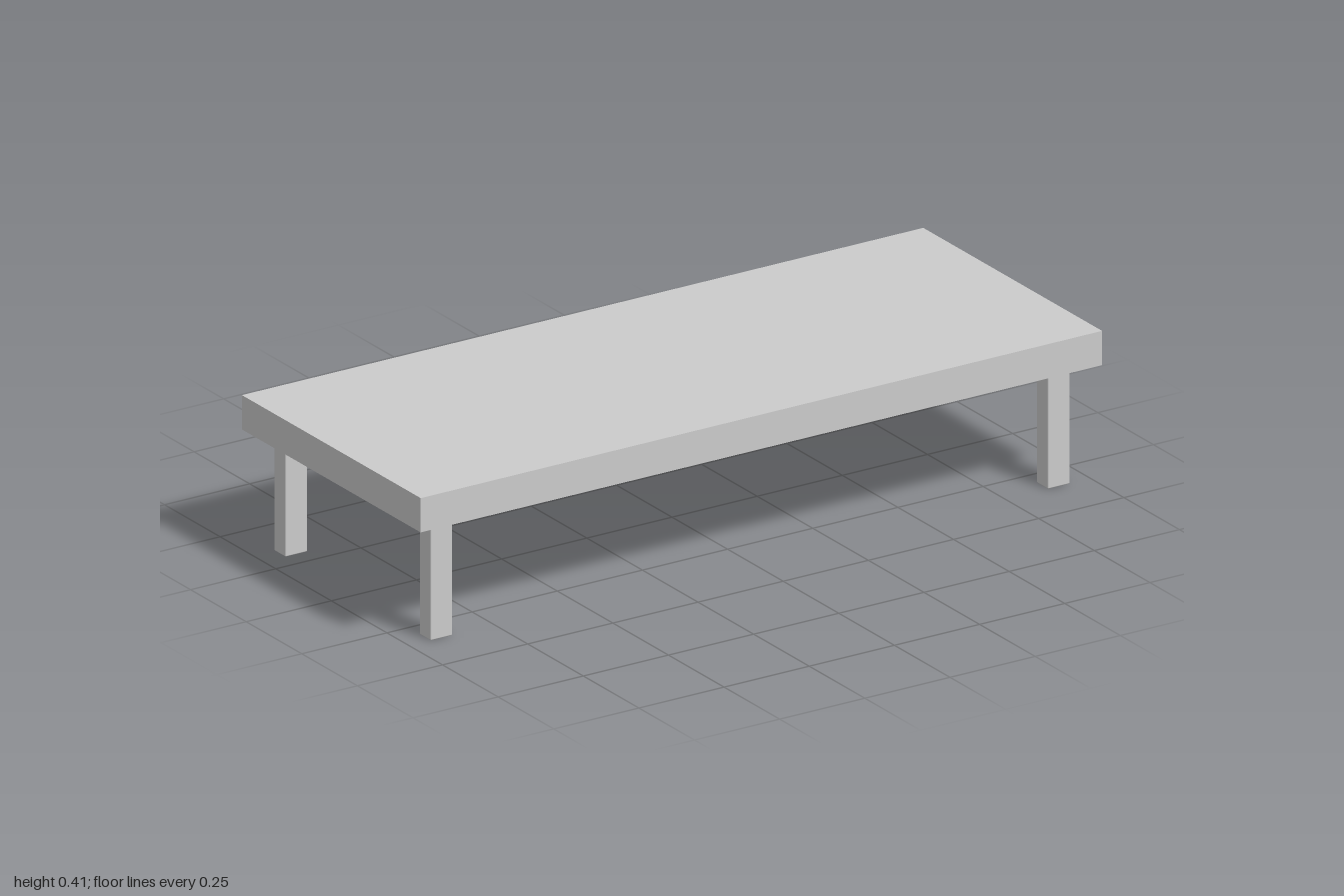
import * as THREE from 'three';
import { RoundedBoxGeometry } from 'three/addons/geometries/RoundedBoxGeometry.js';

export function createModel() {
  const group = new THREE.Group();
  const material = new THREE.MeshStandardMaterial({ color: 0xcccccc });

  const addPart = (name, geometry, x, y, z) => {
    const mesh = new THREE.Mesh(geometry, material);
    mesh.name = name;
    mesh.position.set(x, y, z);
    group.add(mesh);
  };

  // Thick slab top
  const underside = 0.318, topHeight = 0.409;
  const thickness = topHeight - underside;
  addPart('tableTop', new THREE.BoxGeometry(2, thickness, 0.804), 0, underside + thickness / 2, 0);

  // Four legs with slightly eased edges, let into the slab a little
  const legHeight = underside + 0.004;
  const legGeometry = new RoundedBoxGeometry(0.064, legHeight, 0.051, 2, 0.003);
  for (const [side, sx] of [['Left', 1], ['Right', -1]]) {
    for (const [end, sz] of [['front', 1], ['back', -1]]) {
      addPart(`${end}${side}Leg`, legGeometry, sx * 0.906, legHeight / 2, sz * 0.3265);
    }
  }

  return group;
}
